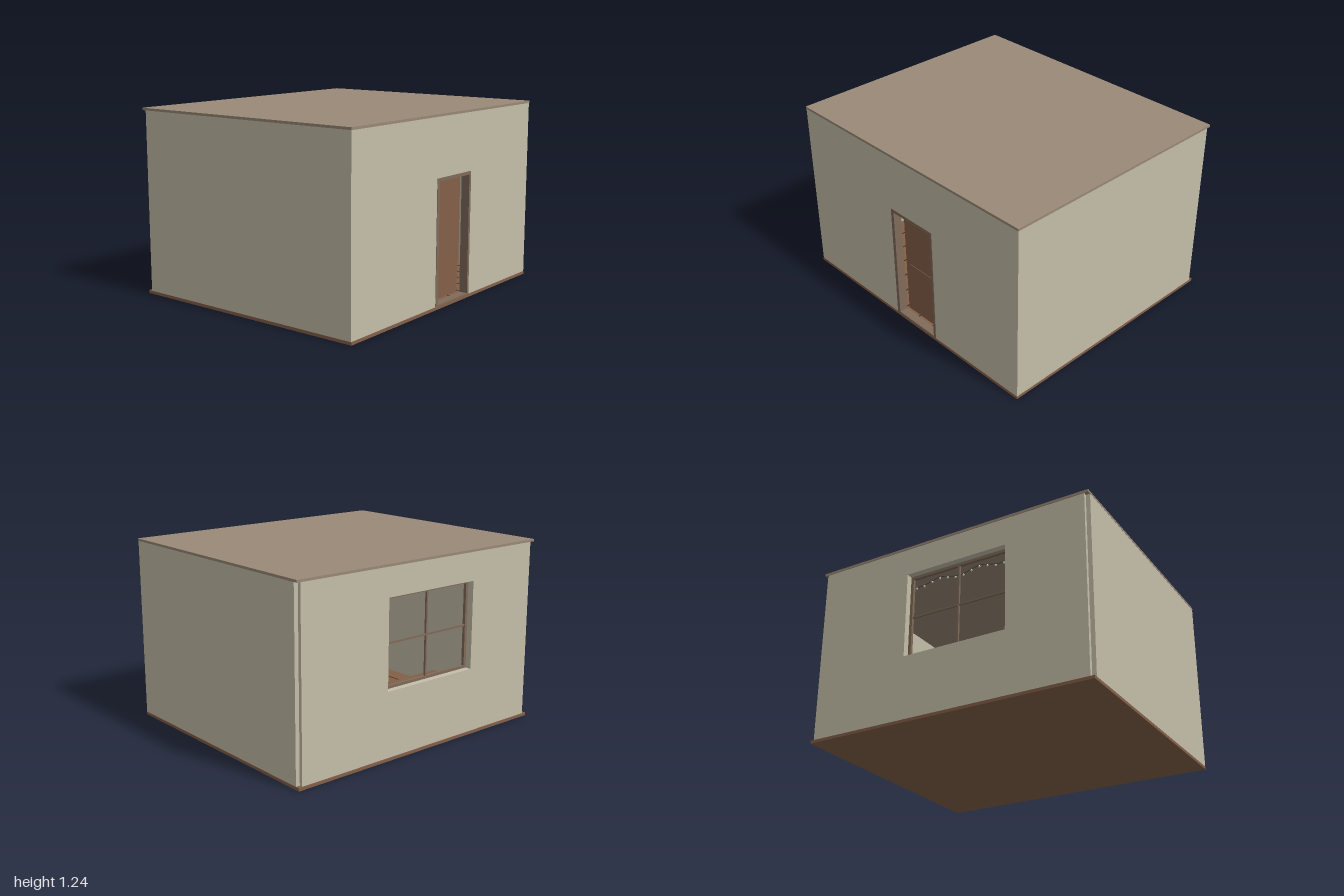
import * as THREE from 'three';

const mat = (name, color) => {
  const m = new THREE.MeshStandardMaterial({ color });
  m.name = name;
  return m;
};

export function createModel() {
  const M = {
    plaster: mat('plaster', 0xc4bea8),
    ceiling: mat('ceiling', 0x998977),
    wood: mat('wood', 0x835f48),
    seam: mat('darkSeam', 0x3d2c22),
    trim: mat('trim', 0x7f6b5a),
    iron: mat('iron', 0x4c4a48),
    rust: mat('rustCloth', 0x7a4a35),
    tan: mat('tanCloth', 0xa5835c),
    paper: mat('paper', 0xe4decd),
  };
  const room = new THREE.Group();
  room.name = 'room';

  const add = (parent, name, geo, m) => {
    const mesh = new THREE.Mesh(geo, m);
    mesh.name = name;
    parent.add(mesh);
    return mesh;
  };
  // box given by its limits on each axis
  const box = (parent, name, m, x0, x1, y0, y1, z0, z1) => {
    const mesh = add(parent, name, new THREE.BoxGeometry(x1 - x0, y1 - y0, z1 - z0), m);
    mesh.position.set((x0 + x1) / 2, (y0 + y1) / 2, (z0 + z1) / 2);
    return mesh;
  };
  const group = (name) => {
    const g = new THREE.Group();
    g.name = name;
    room.add(g);
    return g;
  };
  // upright slab in the xy plane with a rectangular opening
  const slab = (parent, name, m, outer, hole, z0, z1) => {
    const path = (p, [x0, x1, y0, y1]) =>
      p.moveTo(x0, y0).lineTo(x1, y0).lineTo(x1, y1).lineTo(x0, y1).closePath();
    const s = path(new THREE.Shape(), outer);
    s.holes.push(path(new THREE.Path(), hole));
    const g = new THREE.ExtrudeGeometry(s, { depth: z1 - z0, bevelEnabled: false });
    add(parent, name, g, m).position.z = z0;
  };

  // shell
  box(room, 'floor', M.wood, -1, 1, 0, 0.02, -0.858, 0.858);
  box(room, 'roof', M.ceiling, -1, 1, 1.224, 1.24, -0.858, 0.858);
  for (const s of [-1, 1]) {
    const x = s * 0.985;
    box(room, 'sideWall', M.plaster, x - 0.014, x + 0.014, 0.02, 1.224, -0.83, 0.81);
  }
  slab(room, 'frontWall', M.plaster, [-0.999, 0.999, 0.02, 1.224], [-0.13, 0.24, 0.021, 0.83], 0.81, 0.855);
  slab(room, 'backWall', M.plaster, [-0.971, 0.971, 0.02, 1.224], [-0.425, 0.305, 0.45, 1.035], -0.853, -0.8);

  // floorboard seams
  for (let x = -0.84; x < 0.9; x += 0.14)
    box(room, 'floorSeam', M.seam, x - 0.004, x + 0.004, 0.02, 0.022, -0.8, 0.8);

  // door and its frame
  const door = group('door');
  slab(door, 'doorFrame', M.trim, [-0.14, 0.25, 0.021, 0.842], [-0.115, 0.23, 0.03, 0.82], 0.8, 0.858);
  box(door, 'doorLeaf', M.wood, -0.107, 0.22, 0.032, 0.805, 0.755, 0.785);
  for (const [y0, y1] of [[0.09, 0.41], [0.46, 0.76]])
    for (const z of [0.751, 0.785])
      box(door, 'doorPanel', M.wood, -0.065, 0.178, y0, y1, z, z + 0.004);
  const knob = add(door, 'doorKnob', new THREE.SphereGeometry(0.012, 12, 8), M.iron);
  knob.position.set(-0.085, 0.41, 0.74);

  // window frame with glazing bars
  const win = group('window');
  slab(win, 'windowFrame', M.trim, [-0.425, 0.305, 0.45, 1.035], [-0.405, 0.285, 0.468, 1.015], -0.81, -0.79);
  box(win, 'verticalBar', M.trim, -0.066, -0.054, 0.468, 1.015, -0.808, -0.794);
  box(win, 'horizontalBar', M.trim, -0.405, 0.285, 0.732, 0.744, -0.807, -0.795);

  // bookcase on the left wall, filled row by row
  let seed = 7;
  const rnd = () => (seed = (seed * 16807) % 2147483647) / 2147483647;
  const bookcase = group('bookcase');
  const bz0 = -0.5, bz1 = 0.32, rows = 5, pitch = 0.17;
  const top = 0.03 + rows * pitch;
  for (const z of [bz0, bz1]) box(bookcase, 'bookcaseSide', M.wood, 0.8, 0.97, 0.02, top + 0.012, z - 0.008, z + 0.008);
  box(bookcase, 'bookcaseBack', M.seam, 0.962, 0.97, 0.02, top, bz0, bz1);
  const covers = [M.rust, M.tan, M.iron, M.wood, M.rust, M.seam];
  for (let r = 0; r <= rows; r++) {
    const y = 0.03 + r * pitch;
    box(bookcase, 'shelf', M.wood, 0.8, 0.962, y, y + 0.012, bz0 + 0.008, bz1 - 0.008);
    if (r === rows) break;
    for (let z = bz0 + 0.015; z < bz1 - 0.04;) {
      const w = 0.015 + rnd() * 0.017;
      const h = 0.09 + rnd() * 0.045;
      if (rnd() > 0.12)
        box(bookcase, 'book', covers[Math.floor(rnd() * covers.length)], 0.815 + rnd() * 0.015, 0.95, y + 0.012, y + 0.012 + h, z, z + w);
      z += w + 0.003;
    }
  }

  // radiator in the front corner
  const radiator = group('radiator');
  for (let z = 0.42; z < 0.77; z += 0.045)
    box(radiator, 'radiatorFin', M.iron, 0.88, 0.95, 0.06, 0.4, z, z + 0.028);
  for (const y of [0.09, 0.35]) box(radiator, 'radiatorPipe', M.iron, 0.905, 0.925, y, y + 0.02, 0.41, 0.78);

  // desk below the window
  const desk = group('desk');
  box(desk, 'deskTop', M.wood, -0.42, 0.42, 0.345, 0.365, -0.79, -0.52);
  for (const x of [-0.4, 0.37])
    for (const z of [-0.78, -0.56]) box(desk, 'deskLeg', M.wood, x, x + 0.03, 0.02, 0.345, z, z + 0.03);
  box(desk, 'drawer', M.wood, 0.15, 0.37, 0.25, 0.345, -0.77, -0.54);
  for (const s of [-1, 1]) {
    const page = box(desk, 'openBookPage', M.paper, 0.15 + s * 0.04 - 0.038, 0.15 + s * 0.04 + 0.038, 0.37, 0.378, -0.66, -0.56);
    page.rotation.z = s * 0.12;
  }
  const pot = add(desk, 'pencilPot', new THREE.CylinderGeometry(0.028, 0.024, 0.07, 16), M.rust);
  pot.position.set(0.25, 0.4, -0.64);
  for (const [dx, dz] of [[-0.012, 0], [0.01, 0.008], [0.004, -0.012]]) {
    const pen = add(desk, 'pencil', new THREE.CylinderGeometry(0.004, 0.004, 0.13, 6), M.tan);
    pen.position.set(0.25 + dx, 0.455, -0.64 + dz);
  }

  // chair
  const chair = group('chair');
  box(chair, 'chairSeat', M.wood, -0.15, 0.05, 0.2, 0.22, -0.5, -0.31);
  for (const x of [-0.15, 0.03]) {
    box(chair, 'frontLeg', M.wood, x, x + 0.02, 0.02, 0.2, -0.5, -0.48);
    box(chair, 'backLeg', M.wood, x, x + 0.02, 0.02, 0.44, -0.33, -0.31);
  }
  for (const y of [0.29, 0.4]) box(chair, 'chairRail', M.wood, -0.13, 0.03, y, y + 0.035, -0.326, -0.314);

  // high wall shelf on the right wall
  box(room, 'highShelf', M.wood, -0.97, -0.78, 1.165, 1.185, -0.5, 0.5);

  // string of small lamps under the ceiling
  const lamps = group('stringLights');
  const curve = new THREE.CatmullRomCurve3(
    Array.from({ length: 13 }, (_, i) => new THREE.Vector3(-0.95 + i * 0.1583, i % 2 ? 1.185 : 1.215, -0.47)));
  add(lamps, 'cable', new THREE.TubeGeometry(curve, 72, 0.003, 5), M.iron);
  for (let i = 1; i < 30; i++) {
    const bulb = add(lamps, 'bulb', new THREE.SphereGeometry(0.008, 8, 6), M.paper);
    bulb.position.copy(curve.getPoint(i / 30));
    bulb.position.y -= 0.01;
  }

  return room;
}
